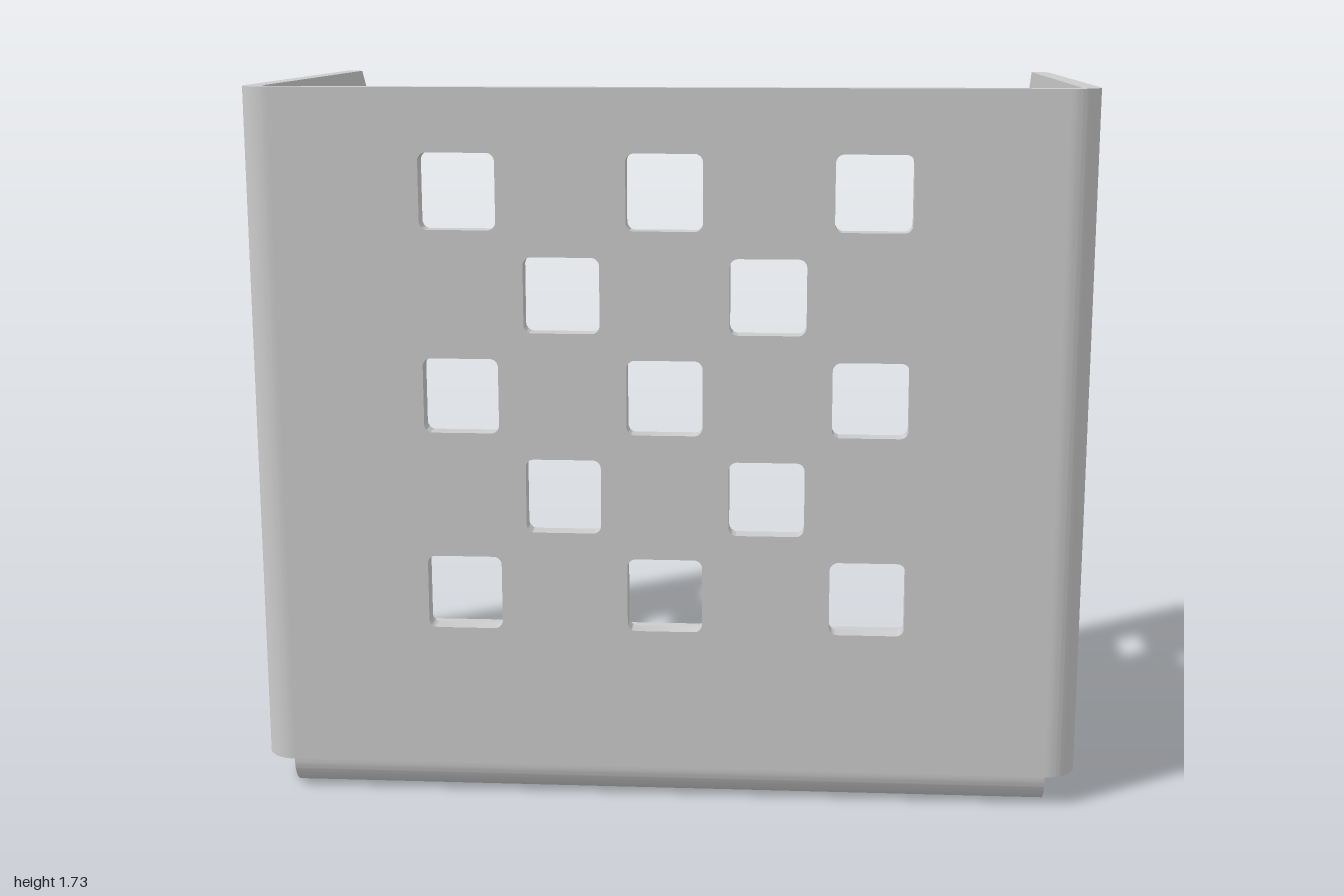
import * as THREE from 'three';
import { toCreasedNormals } from 'three/addons/utils/BufferGeometryUtils.js';

const T = 0.045;               // sheet thickness
const R = 0.077;               // outer bend radius
const H = 1.727;               // total height
const D = 0.62;                // half depth
const W = 1 - R;               // half width of the flat front and base
const ZB = D - R;              // z where the bends begin
const CUT = 0.12;              // corner chamfer
const PITCH = 0.2425;          // hole grid step
const HOLE = 0.18;
const material = new THREE.MeshStandardMaterial({ color: 0xcccccc });

// Square hole with small rounded corners
function holePath(cx, cy) {
  const h = HOLE / 2, r = 0.02, p = new THREE.Path();
  p.moveTo(cx - h + r, cy - h);
  p.absarc(cx + h - r, cy - h + r, r, -Math.PI / 2, 0);
  p.absarc(cx + h - r, cy + h - r, r, 0, Math.PI / 2);
  p.absarc(cx - h + r, cy + h - r, r, Math.PI / 2, Math.PI);
  p.absarc(cx - h + r, cy - h + r, r, Math.PI, Math.PI * 1.5);
  p.closePath();
  return p;
}

// Checkerboard of holes: every other cell of a cols x rows grid
function checker(cx, cy, cols, rows) {
  const holes = [];
  for (let i = 0; i < cols; i++) {
    for (let j = 0; j < rows; j++) {
      if ((i + j) % 2 === 0) {
        holes.push(holePath(cx + (i - (cols - 1) / 2) * PITCH, cy + (j - (rows - 1) / 2) * PITCH));
      }
    }
  }
  return holes;
}

function extrude(shape, depth) {
  const g = new THREE.ExtrudeGeometry(shape, { depth, bevelEnabled: false, curveSegments: 10 });
  return toCreasedNormals(g, 0.5);
}

function plate(points, holes) {
  const shape = new THREE.Shape(points.map(([x, y]) => new THREE.Vector2(x, y)));
  shape.holes.push(...holes);
  return extrude(shape, T);
}

// Quarter-round bend of the sheet
function bend(cx, cy, start, length) {
  const shape = new THREE.Shape();
  shape.absarc(cx, cy, R, start, start + Math.PI / 2, false);
  shape.absarc(cx, cy, R - T, start + Math.PI / 2, start, true);
  shape.closePath();
  return extrude(shape, length);
}

export function createModel() {
  const group = new THREE.Group();
  const add = (name, geometry) => {
    const mesh = new THREE.Mesh(geometry, material);
    mesh.name = name;
    group.add(mesh);
  };
  const midY = 1.002, midZ = -0.138;

  // Front panel
  add('frontPanel', plate([[-W, R], [W, R], [W, H], [-W, H]], checker(0, midY, 5, 5))
    .translate(0, 0, D - T));

  // Side panels with chamfered rear corners, and their vertical bends
  for (const [side, s] of [['left', 1], ['right', -1]]) {
    const outline = [[ZB, R], [ZB, H], [-D + CUT, H], [-D, H - CUT], [-D, R + CUT], [-D + CUT, R]];
    add(side + 'Panel', plate(outline, checker(midZ, midY, 3, 5))
      .rotateY(-Math.PI / 2).translate(s > 0 ? 1 : T - 1, 0, 0));
    add(side + 'Bend', bend(s * W, ZB, s > 0 ? 0 : Math.PI / 2, H - R)
      .rotateX(Math.PI / 2).translate(0, H, 0));
  }

  // Base panel with chamfered rear corners, and its bend up to the front
  const base = [[-W, ZB], [W, ZB], [W, -D + CUT], [W - CUT, -D], [-W + CUT, -D], [-W, -D + CUT]];
  add('basePanel', plate(base, checker(0, midZ, 5, 3))
    .rotateX(Math.PI / 2).translate(0, T, 0));
  add('baseBend', bend(ZB, R, -Math.PI / 2, 2 * W)
    .rotateY(-Math.PI / 2).translate(W, 0, 0));

  return group;
}
